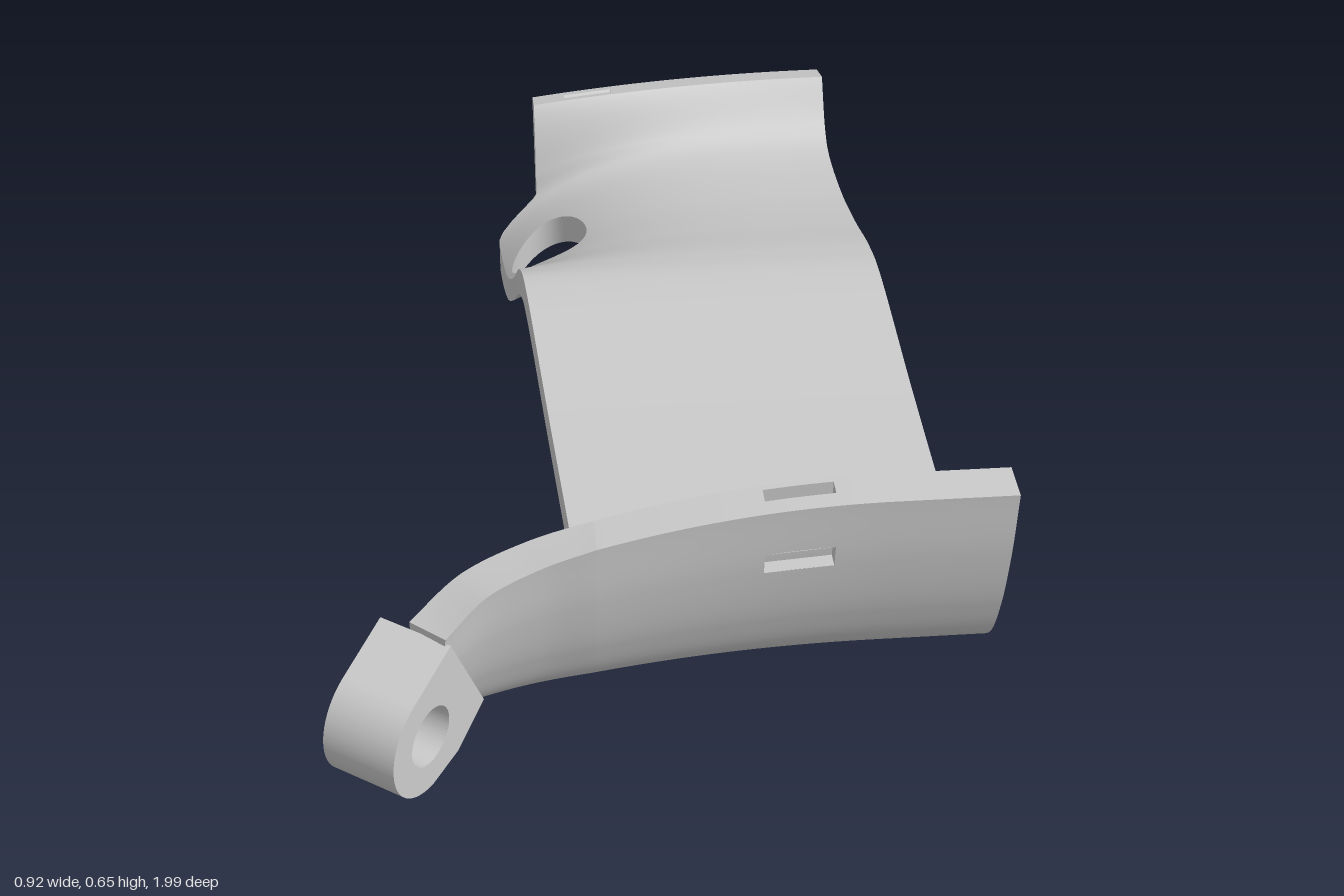
import * as THREE from 'three';

const V = (x, y, z) => new THREE.Vector3(x, y, z);
const { lerp, smoothstep, clamp } = THREE.MathUtils;
const range = (a, b, n) => Array.from({ length: n + 1 }, (_, i) => lerp(a, b, i / n));
const withLines = (list, ...extra) => [...new Set([...list, ...extra])].sort((a, b) => a - b);

// Side profile from front lip to back lip: upper z, y, lower z, y, amount of back dip
const PROFILE = [
  [0.72, 0.65, 0.78, 0.65, 0], [0.715, 0.54, 0.77, 0.54, 0], [0.685, 0.44, 0.745, 0.43, 0],
  [0.645, 0.37, 0.70, 0.34, 0], [0.58, 0.33, 0.61, 0.28, 0], [0.45, 0.312, 0.46, 0.257, 0],
  [0.1, 0.31, 0.1, 0.253, 0], [-0.22, 0.32, -0.22, 0.263, 0], [-0.35, 0.305, -0.36, 0.245, 0.12],
  [-0.5, 0.262, -0.52, 0.2, 0.65], [-0.65, 0.228, -0.66, 0.17, 1], [-0.8, 0.215, -0.8, 0.155, 1],
  [-0.87, 0.24, -0.9, 0.175, 0.6], [-0.935, 0.315, -1.0, 0.295, 0],
];
const END = PROFILE.length - 1, RIGHT = 0.46, LEFT = -0.1;
const upper = new THREE.CatmullRomCurve3(PROFILE.map((p) => V(p[4], p[1], p[0])), false, 'catmullrom', 0.5);
const lower = new THREE.CatmullRomCurve3(PROFILE.map((p) => V(p[4], p[3], p[2])), false, 'catmullrom', 0.5);

// Point on the shell: x, t along the profile, side 0 = upper skin, 1 = lower skin
function shell(x, t, side) {
  const k = clamp(t / END, 0, 1);
  const p = upper.getPoint(k).lerp(lower.getPoint(k), side);
  const dip = 0.155 * Math.pow(Math.max(0, RIGHT - x) / 0.635, 4) * p.x;
  const bend = Math.pow(Math.max(0, 0.3 - x) / 0.4, 2);
  const front = 1 - smoothstep(t, 4, 5.5);
  const back = smoothstep(t, 11, 13) * 0.065 * Math.pow((RIGHT - x) / 0.56, 2);
  const drop = front * 0.027 * bend * clamp((p.y - 0.3) / 0.35, 0, 1);
  return V(x, p.y - dip - drop, p.z + front * 0.035 * bend + back);
}

// Left border of the plate: slanting edge, then a step near the back lip
function leftEdge(t) {
  if (t > 11) return lerp(-0.175, LEFT, smoothstep(t, 11, 11.5));
  const z = upper.getPoint(clamp(t / END, 0, 1)).z;
  return LEFT - 0.075 * clamp((0.62 - z) / 1.41, 0, 1);
}

// Grid surface over f(u, v) with numeric smooth normals
function sheet(f, us, vs, flip = false, skip = () => false) {
  const pos = [], nor = [], idx = [], e = 1e-3, w = vs.length;
  const cl = (a, arr) => clamp(a, Math.min(arr[0], arr.at(-1)), Math.max(arr[0], arr.at(-1)));
  for (const u of us) for (const v of vs) {
    const dv = f(u, cl(v + e, vs)).sub(f(u, cl(v - e, vs)));
    const du = f(cl(u + e, us), v).sub(f(cl(u - e, us), v));
    const n = dv.cross(du).normalize().multiplyScalar(flip ? -1 : 1);
    pos.push(...f(u, v).toArray());
    nor.push(...n.toArray());
  }
  for (let i = 0; i < us.length - 1; i++) for (let j = 0; j < w - 1; j++) {
    if (skip((us[i] + us[i + 1]) / 2, (vs[j] + vs[j + 1]) / 2)) continue;
    const a = i * w + j, b = a + 1, c = a + w, d = c + 1;
    idx.push(...(flip ? [a, c, b, b, c, d] : [a, b, c, b, d, c]));
  }
  const g = new THREE.BufferGeometry();
  g.setAttribute('position', new THREE.Float32BufferAttribute(pos, 3));
  g.setAttribute('normal', new THREE.Float32BufferAttribute(nor, 3));
  g.setIndex(idx);
  return g;
}

export function createModel() {
  const root = new THREE.Group();
  const mat = new THREE.MeshStandardMaterial({ color: 0xcccccc, side: THREE.DoubleSide });
  const add = (name, geo) => {
    const m = new THREE.Mesh(geo, mat);
    m.name = name;
    root.add(m);
    return m;
  };

  // Strap slots: x range, t range on the outer skin, side range on the lip
  const slots = [
    { x: [0.125, 0.22], t: [0.68, 1], s: [0.15, 0.55], lip: 0, deep: 0.6 },
    { x: [-0.04, 0.05], t: [12.3, 12.6], s: [0.3, 0.65], lip: END, deep: 12.7 },
  ];
  const toV = (x) => (x - LEFT) / (RIGHT - LEFT);
  const vs = withLines(range(0, 1, 36), ...slots.flatMap((s) => s.x.map(toV)));
  const inside = (a, r) => a > r[0] && a < r[1];
  const xAt = (t, v) => lerp(leftEdge(t), RIGHT, v);

  // Upper and lower skins, leaving room for the round opening
  const holeX = -0.087, holeT = 9.93, patchX = 0.08;
  const ring = (u, a) => {
    const c = Math.cos(a), s = -Math.sin(a), m = Math.max(Math.abs(c), Math.abs(s));
    const t = 10 + s / m;
    const x = holeX + (c / m) * (c > 0 ? patchX - holeX : holeX - leftEdge(t));
    return [lerp(holeX + 0.07 * c, x, u), lerp(holeT + 0.7 * s, t, u)];
  };
  const angles = range(0, Math.PI * 2, 64);
  for (const side of [0, 1]) {
    const label = side ? 'lower' : 'upper', flip = side === 1;
    const skip = (t, v) => flip && slots.some((s) => inside(t, s.t) && inside(v, s.x.map(toV)));
    const skin = (t, v) => shell(xAt(t, v), t, side);
    add(label + 'FrontSkin', sheet(skin, withLines(range(0, 9, 72), 0.68), vs, flip, skip));
    add(label + 'BackSkin', sheet(skin, withLines(range(11, END, 20), 12.3, 12.6), vs, flip, skip));
    add(label + 'MiddleSkin', sheet((t, v) => shell(lerp(patchX, RIGHT, v), t, side),
      range(9, 11, 16), range(0, 1, 20), flip));
    add(label + 'OpeningSkin', sheet((u, a) => shell(...ring(u, a), side), range(0, 1, 8), angles, flip));
  }

  // Edge walls of the plate
  add('openingRim', sheet((s, a) => shell(...ring(0, a), s), [0, 1], angles));
  add('rightEdge', sheet((t, s) => shell(RIGHT, t, s), range(0, END, 104), [0, 1]));
  add('leftEdge', sheet((t, s) => shell(leftEdge(t), t, s), range(4, END, 90), [0, 1], true));
  for (const p of slots) {
    const skip = (s, v) => inside(s, p.s) && inside(v, p.x.map(toV));
    add('lipEdge', sheet((s, v) => shell(xAt(p.lip, v), p.lip, s),
      withLines([0, 1], ...p.s), vs, p.lip === 0, skip));
    // Pocket walls and floors
    const pocket = (r, f) => {
      const corners = [[p.x[0], r[0]], [p.x[1], r[0]], [p.x[1], r[1]], [p.x[0], r[1]]];
      corners.forEach((c, i) => {
        const d = corners[(i + 1) % 4];
        add('slotWall', sheet((k, h) => f(lerp(c[0], d[0], k), lerp(c[1], d[1], k), h), [0, 1], [0, 1]));
      });
      add('slotFloor', sheet((k, h) => f(lerp(...p.x, k), lerp(...r, h), 1), [0, 1], [0, 1]));
    };
    pocket(p.t, (x, t, h) => shell(x, t, lerp(1, 0.6, h)));
    pocket(p.s, (x, s, h) => shell(x, lerp(p.lip, p.deep, h), s));
  }

  // Curved arm carrying the front wall round to the lug
  const path = new THREE.CatmullRomCurve3(
    [V(LEFT, 0, 0.815), V(-0.17, 0, 0.825), V(-0.245, 0, 0.848), V(-0.3, 0, 0.88)]);
  const heights = new THREE.CatmullRomCurve3( // turn, bottom, top
    [V(0, 0.28, 0.623), V(0.25, 0.287, 0.605), V(0.55, 0.3, 0.58), V(0.87, 0.325, 0.54)]);
  const arm = (q, t, s) => {
    const p = shell(LEFT, t, s), c = path.getPoint(q), h = heights.getPoint(q);
    const d = (0.815 - p.z) * (1 - 0.35 * q * t / 4);
    return V(c.x - Math.sin(h.x) * d, lerp(h.y, h.z, (p.y - 0.28) / 0.343), c.z - Math.cos(h.x) * d);
  };
  const ts = range(0, 4, 32), qs = range(0, 1, 24);
  add('armInner', sheet((t, q) => arm(q, t, 0), ts, qs, true));
  add('armOuter', sheet((t, q) => arm(q, t, 1), ts, qs));
  add('armTop', sheet((s, q) => arm(q, 0, s), [0, 1], qs));
  add('armBottom', sheet((s, q) => arm(q, 4, s), [0, 1], qs, true));
  add('armEnd', sheet((t, s) => arm(1, t, s), ts, [0, 1], true));

  // Lug with a stepped bore: narrow on the outside face, wide behind
  const lug = new THREE.Group();
  lug.name = 'lug';
  const n = V(0.82, 0, 0.572), u = V(0.572, 0, -0.82);
  for (const [name, bore, start, depth] of [['lugFace', 0.043, -0.055, 0.055], ['lugCollar', 0.064, -0.11, 0.055]]) {
    const s = new THREE.Shape();
    s.absarc(0, 0, 0.085, Math.PI * 0.62, Math.PI * 1.5, false);
    s.lineTo(0.06, -0.075);
    s.lineTo(0.125, -0.035);
    s.lineTo(0.055, 0.115);
    s.closePath();
    s.holes.push(new THREE.Path().absarc(0, 0, bore, 0, Math.PI * 2, true));
    const g = new THREE.ExtrudeGeometry(s, { depth, bevelEnabled: false, curveSegments: 32 });
    const m = new THREE.Mesh(g.translate(0, 0, start), mat);
    m.name = name;
    lug.add(m);
  }
  lug.applyMatrix4(new THREE.Matrix4().makeBasis(u, V(0, 1, 0), n).setPosition(-0.325, 0.415, 0.925));
  root.add(lug);
  return root;
}
